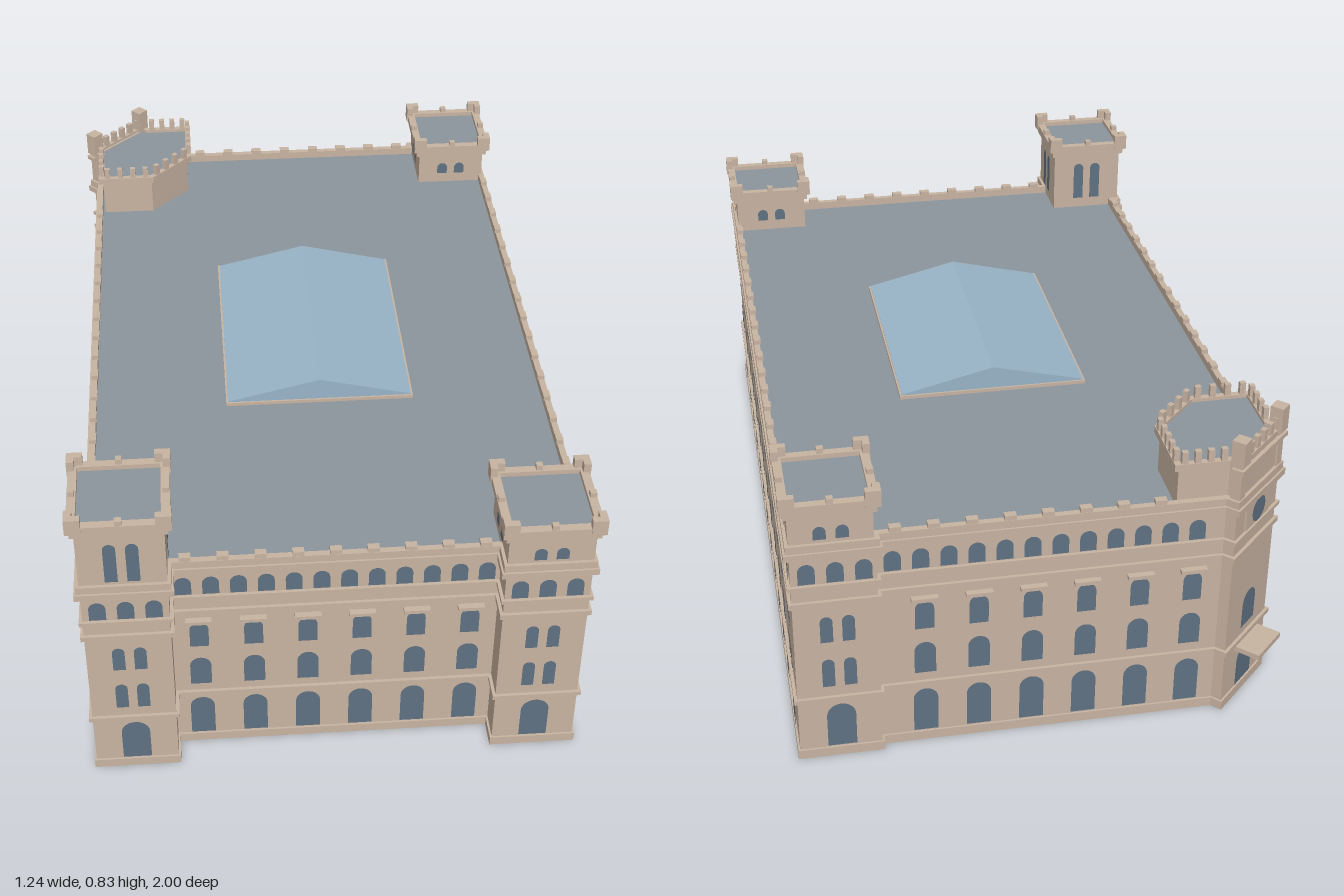
import * as THREE from 'three';

const mat = (name, color) => Object.assign(new THREE.MeshStandardMaterial({ color }), { name });
const stone = mat('stone', 0xc8b4a2);
const pane = mat('window', 0x5f7183);
const slate = mat('roof', 0x8c959c);
const glass = mat('skylight glass', 0x98b4c8);

// plan outlines as [x, -z], counter-clockwise
const flip = (pts) => pts.map(([x, z]) => [x, -z]);
const FOOTPRINT = flip([
  [-0.6, 0.98], [-0.395, 0.98], [-0.395, 0.91], [0.395, 0.91], [0.395, 0.98], [0.6, 0.98],
  [0.6, -0.98], [0.4, -0.98], [0.4, -0.96], [-0.43, -0.96], [-0.45, -0.98], [-0.6, -0.83],
  [-0.58, -0.81], [-0.58, 0.77], [-0.6, 0.77],
]);
const CORNER = flip([
  [-0.575, -0.66], [-0.415, -0.66], [-0.3, -0.78], [-0.3, -0.96],
  [-0.43, -0.96], [-0.45, -0.98], [-0.6, -0.83], [-0.575, -0.805],
]);
const rect = (x0, x1, z0, z1) => flip([[x0, z1], [x1, z1], [x1, z0], [x0, z0]]);

// mitred offset of an outline
function offset(pts, d) {
  const n = pts.length;
  const normal = (a, b) => {
    const dx = b[0] - a[0], dy = b[1] - a[1], l = Math.hypot(dx, dy);
    return [dy / l, -dx / l];
  };
  return pts.map((p, i) => {
    const a = normal(pts[(i + n - 1) % n], p), b = normal(p, pts[(i + 1) % n]);
    const k = d / (1 + a[0] * b[0] + a[1] * b[1]);
    return new THREE.Vector2(p[0] + (a[0] + b[0]) * k, p[1] + (a[1] + b[1]) * k);
  });
}

function add(parent, name, geo, material, x = 0, y = 0, z = 0) {
  const m = new THREE.Mesh(geo, material);
  m.name = name;
  m.position.set(x, y, z);
  parent.add(m);
  return m;
}
const box = (parent, name, w, h, d, x, y, z, material = stone) =>
  add(parent, name, new THREE.BoxGeometry(w, h, d), material, x, y, z);

// solid slab, or hollow ring when an inner offset is given
function slab(parent, name, pts, y0, y1, out, inner, material = stone) {
  const shape = new THREE.Shape(offset(pts, out));
  if (inner !== undefined) shape.holes.push(new THREE.Path(offset(pts, inner).reverse()));
  const geo = new THREE.ExtrudeGeometry(shape, { depth: y1 - y0, bevelEnabled: false });
  geo.rotateX(-Math.PI / 2);
  return add(parent, name, geo, material, 0, y0, 0);
}

// facade frame: local x runs along the wall, local z points outward
function facade(parent, name, x, z, turn) {
  const g = new THREE.Group();
  g.name = name;
  g.position.set(x, 0, z);
  g.rotation.y = turn;
  parent.add(g);
  return g;
}

// round-headed window
function arch(f, u, y0, y1, w) {
  const r = w / 2, s = new THREE.Shape();
  s.moveTo(-r, 0);
  s.lineTo(r, 0);
  s.lineTo(r, y1 - y0 - r);
  s.absarc(0, y1 - y0 - r, r, 0, Math.PI, false);
  add(f, 'archedWindow', new THREE.ShapeGeometry(s, 6), pane, u, y0, 0.003);
}
const pair = (f, u, y0, y1, w = 0.03) => [-0.026, 0.026].forEach((d) => arch(f, u + d, y0, y1, w));

// main wall bay: three storeys, optional lintel
function bay(f, u, lintel) {
  arch(f, u, 0.03, 0.155, 0.06);
  arch(f, u, 0.205, 0.295, 0.052);
  arch(f, u, 0.335, 0.415, 0.046);
  if (lintel) box(f, 'lintel', 0.064, 0.01, 0.02, u, 0.424, 0.006);
}
function towerBay(f, u) {
  arch(f, u, 0.03, 0.155, 0.07);
  pair(f, u, 0.21, 0.29);
  pair(f, u, 0.34, 0.413);
}
const attic = (f, u) => arch(f, u, 0.51, 0.565, 0.04);
function battlements(f, u0, u1) {
  const n = Math.round((u1 - u0) / 0.088);
  for (let i = 0; i <= n; i++) {
    box(f, 'merlon', 0.028, 0.012, 0.018, u0 + ((u1 - u0) * i) / n, 0.626, -0.002);
  }
}

// square turret above the roof line
function turret(parent, name, x0, x1, z0, z1, top, sill, head) {
  const g = new THREE.Group();
  g.name = name;
  parent.add(g);
  const pts = rect(x0, x1, z0, z1);
  const cx = (x0 + x1) / 2, cz = (z0 + z1) / 2, w = x1 - x0, d = z1 - z0;
  slab(g, 'turretBody', pts, 0.59, top, 0);
  slab(g, 'turretCornice', pts, top - 0.006, top + 0.012, 0.009);
  slab(g, 'turretParapet', pts, top + 0.012, top + 0.03, 0.015, -0.006);
  slab(g, 'turretRoof', pts, top + 0.012, top + 0.018, -0.004, undefined, slate);
  for (let i = 0; i < 4; i++) {
    const deep = i % 2 ? w : d, wide = i % 2 ? d : w, t = (i * Math.PI) / 2;
    const f = facade(g, 'turretSide', cx + (Math.sin(t) * deep) / 2, cz + (Math.cos(t) * deep) / 2, t);
    pair(f, 0, sill, head);
    for (const s of [-1, 1]) {
      box(f, 'cornerMerlon', 0.036, 0.043, 0.018, s * (wide / 2 - 0.001), top + 0.0335, 0.009);
    }
    box(f, 'smallMerlon', 0.016, 0.014, 0.016, 0, top + 0.036, 0.006);
  }
}

export function createModel() {
  const model = new THREE.Group();
  model.name = 'palazzo';

  // hollow walls, string courses and roof
  slab(model, 'walls', FOOTPRINT, 0, 0.6, 0, -0.008);
  for (const [name, y0, y1, out] of [
    ['plinth', 0, 0.025, 0.005], ['firstCourse', 0.168, 0.18, 0.008],
    ['secondCourse', 0.446, 0.46, 0.008], ['atticSill', 0.495, 0.506, 0.008],
    ['cornice', 0.583, 0.6, 0.013], ['parapet', 0.6, 0.62, 0.008],
  ]) slab(model, name, FOOTPRINT, y0, y1, out, -0.008);
  slab(model, 'roof', FOOTPRINT, 0.592, 0.599, -0.004, undefined, slate);

  // facades
  const front = facade(model, 'frontFacade', 0, 0.91, 0);
  const frontTowers = facade(model, 'frontTowerFacades', 0, 0.98, 0);
  const back = facade(model, 'backFacade', 0, -0.96, Math.PI);
  const backTower = facade(model, 'backTowerFacade', 0, -0.98, Math.PI);
  const leftSide = facade(model, 'leftFacade', 0.6, 0, Math.PI / 2);
  const rightSide = facade(model, 'rightFacade', -0.58, 0, -Math.PI / 2);
  const rightTower = facade(model, 'rightTowerFacade', -0.6, 0, -Math.PI / 2);

  for (let i = 0; i < 6; i++) {
    bay(front, -0.33 + i * 0.132, true);
    bay(back, -0.29 + i * 0.13, true);
  }
  for (let i = 0; i < 11; i++) {
    const z = 0.7 - i * 0.139;
    bay(leftSide, -z, false);
    bay(rightSide, z, false);
  }
  towerBay(frontTowers, -0.497);
  towerBay(frontTowers, 0.497);
  towerBay(backTower, -0.497);
  towerBay(leftSide, -0.877);
  towerBay(leftSide, 0.872);
  towerBay(rightTower, 0.877);

  // attic arcade
  for (let i = 0; i < 12; i++) {
    const u = -0.363 + i * 0.066;
    attic(front, u);
    attic(back, u);
  }
  for (const u of [0.431, 0.497, 0.563]) {
    attic(frontTowers, u);
    attic(frontTowers, -u);
    attic(backTower, -u);
  }
  for (let i = 0; i < 28; i++) {
    const z = 0.945 - i * 0.07;
    attic(leftSide, -z);
    if (z > -0.79) attic(z > 0.77 ? rightTower : rightSide, z);
  }
  battlements(front, -0.355, 0.355);
  battlements(back, -0.355, 0.27);
  battlements(leftSide, -0.72, 0.72);
  battlements(rightSide, -0.62, 0.72);

  // square turrets
  turret(model, 'tallTurret', -0.6, -0.395, 0.777, 0.98, 0.78, 0.63, 0.745);
  turret(model, 'frontTurret', 0.395, 0.6, 0.777, 0.98, 0.7, 0.63, 0.665);
  turret(model, 'backTurret', 0.405, 0.6, -0.98, -0.777, 0.7, 0.63, 0.665);

  // many-sided corner turret with closely set merlons
  const corner = new THREE.Group();
  corner.name = 'cornerTurret';
  model.add(corner);
  slab(corner, 'cornerBody', CORNER, 0.59, 0.706, -0.011);
  slab(corner, 'cornerParapet', CORNER, 0.704, 0.722, 0.002, -0.014);
  slab(corner, 'cornerRoof', CORNER, 0.705, 0.713, -0.012, undefined, slate);
  const rim = offset(CORNER, -0.006);
  rim.forEach((a, i) => {
    const b = rim[(i + 1) % rim.length], len = a.distanceTo(b);
    const n = Math.round(len / 0.036);
    if (len < 0.05) return;
    for (let k = 0; k < n; k++) {
      const p = a.clone().lerp(b, (k + 0.5) / n);
      box(corner, 'cornerMerlon', 0.015, 0.032, 0.013, p.x, 0.737, -p.y).rotation.y =
        Math.atan2(b.y - a.y, b.x - a.x);
    }
  });

  // angled entrance front
  const entry = facade(model, 'entranceFacade', -0.525, -0.905, -Math.PI * 0.75);
  box(entry, 'entranceUpperWall', 0.21, 0.115, 0.02, 0, 0.6575, -0.01);
  box(entry, 'entranceCornice', 0.23, 0.012, 0.03, 0, 0.7, -0.003);
  arch(entry, 0, 0.03, 0.14, 0.08);
  arch(entry, 0, 0.205, 0.305, 0.066);
  box(entry, 'balcony', 0.115, 0.014, 0.07, 0, 0.157, 0.035);
  box(entry, 'roundelPanel', 0.12, 0.072, 0.006, 0, 0.5445, 0.002);
  add(entry, 'roundelWindow', new THREE.CircleGeometry(0.034, 10), pane, 0, 0.5445, 0.007);
  for (const s of [-1, 1]) {
    box(entry, 'entrancePier', 0.026, 0.13, 0.026, s * 0.094, 0.655, -0.008);
    box(entry, 'pierCap', 0.034, 0.066, 0.034, s * 0.096, 0.747, -0.006);
  }

  // gabled skylight
  const gable = new THREE.Shape([[-0.24, 0], [0.24, 0], [0.24, 0.012], [0, 0.07], [-0.24, 0.012]]
    .map(([x, y]) => new THREE.Vector2(x, y)));
  add(model, 'skylight', new THREE.ExtrudeGeometry(gable, { depth: 0.64, bevelEnabled: false }),
    glass, 0.01, 0.598, -0.335);
  slab(model, 'skylightCurb', rect(-0.23, 0.25, -0.335, 0.305), 0.598, 0.608, 0.005, -0.004);
  return model;
}
